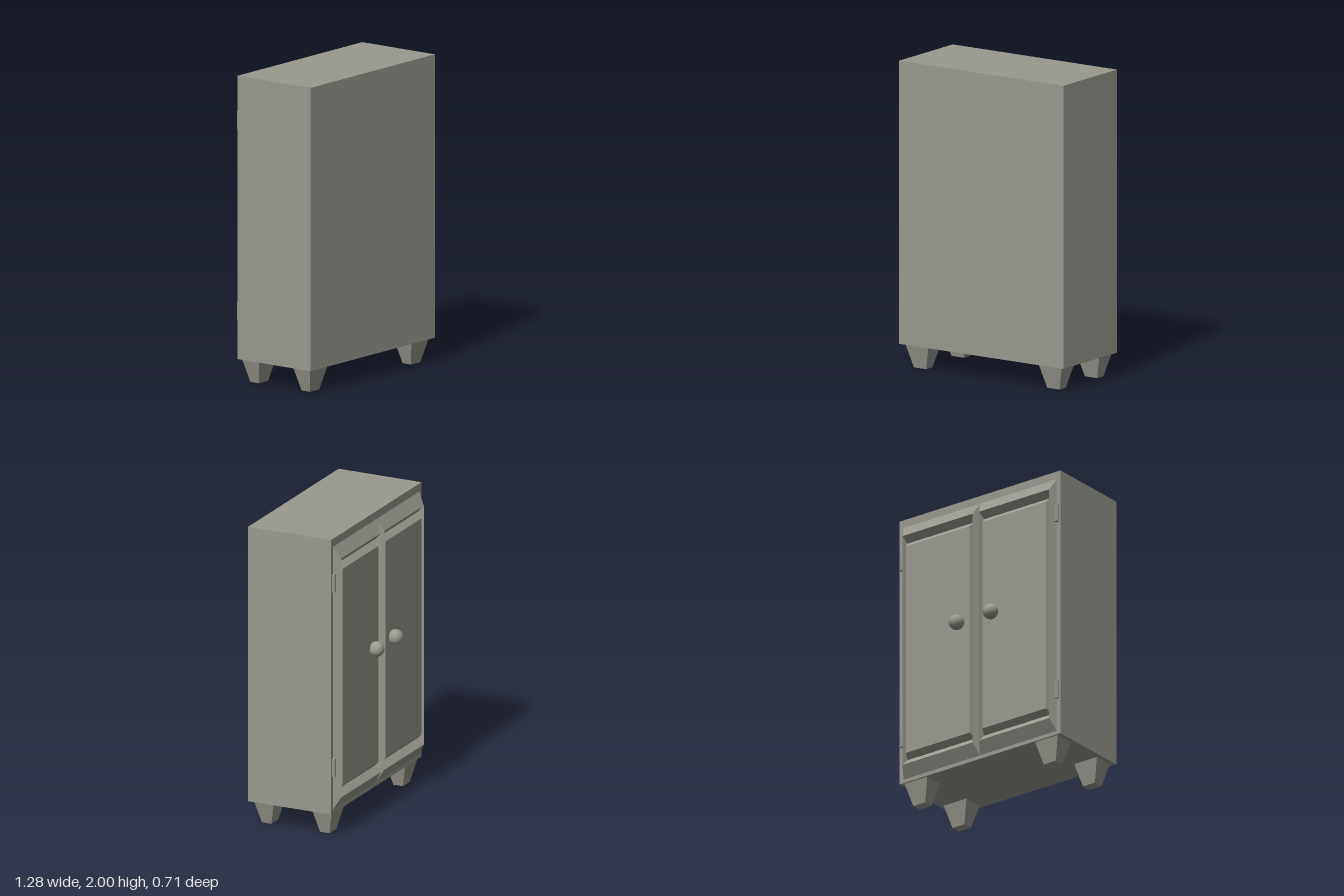
import * as THREE from 'three';

// Stack of centred rectangles [halfWidth, halfHeight, z], joined by flat faces and capped at the end
function rectLoft(levels) {
  const pos = [];
  const ring = ([w, h, z]) => [[-w, -h, z], [w, -h, z], [w, h, z], [-w, h, z]];
  const quad = (a, b, c, d) => pos.push(...a, ...b, ...c, ...a, ...c, ...d);
  for (let i = 0; i < levels.length - 1; i++) {
    const a = ring(levels[i]), b = ring(levels[i + 1]);
    for (let k = 0; k < 4; k++) {
      const n = (k + 1) % 4;
      quad(a[k], a[n], b[n], b[k]);
    }
  }
  quad(...ring(levels[levels.length - 1]));
  const geo = new THREE.BufferGeometry();
  geo.setAttribute('position', new THREE.Float32BufferAttribute(pos, 3));
  geo.computeVertexNormals();
  return geo;
}

export function createModel() {
  const group = new THREE.Group();
  const grey = new THREE.MeshStandardMaterial({ color: 0x99998f });
  grey.name = 'warmGrey';

  const add = (name, geo, x, y, z) => {
    const mesh = new THREE.Mesh(geo, grey);
    mesh.name = name;
    mesh.position.set(x, y, z);
    group.add(mesh);
  };

  // Cabinet body
  const bottom = 0.155, back = -0.235, front = 0.355;
  add('cabinetBody', new THREE.BoxGeometry(1.282, 2 - bottom, front - back),
    0, (2 + bottom) / 2, (front + back) / 2);

  // Door: sloped frame, groove, then a raised panel
  const doorGeo = rectLoft([
    [0.305, 0.883, 0],
    [0.28, 0.803, 0.045],
    [0.268, 0.76, 0.008],
    [0.254, 0.725, 0.042],
  ]).rotateY(Math.PI);
  // Tapered foot, hanging down from the body
  const legGeo = rectLoft([
    [0.09, 0.07, 0],
    [0.048, 0.034, bottom],
  ]).rotateX(Math.PI / 2);
  const knobGeo = new THREE.SphereGeometry(0.05, 32, 20);
  const hingeGeo = new THREE.CylinderGeometry(0.016, 0.016, 0.12, 16);

  for (const [side, s] of [['left', 1], ['right', -1]]) {
    add(side + 'Door', doorGeo, s * 0.305, 1.063, back);
    add(side + 'Knob', knobGeo, s * 0.135, 1.125, -0.305);
    add(side + 'UpperHinge', hingeGeo, s * 0.615, 1.705, -0.239);
    add(side + 'LowerHinge', hingeGeo, s * 0.615, 0.465, -0.239);
    add(side + 'FrontLeg', legGeo, s * 0.52, bottom, 0.26);
    add(side + 'BackLeg', legGeo, s * 0.52, bottom, -0.154);
  }
  return group;
}
